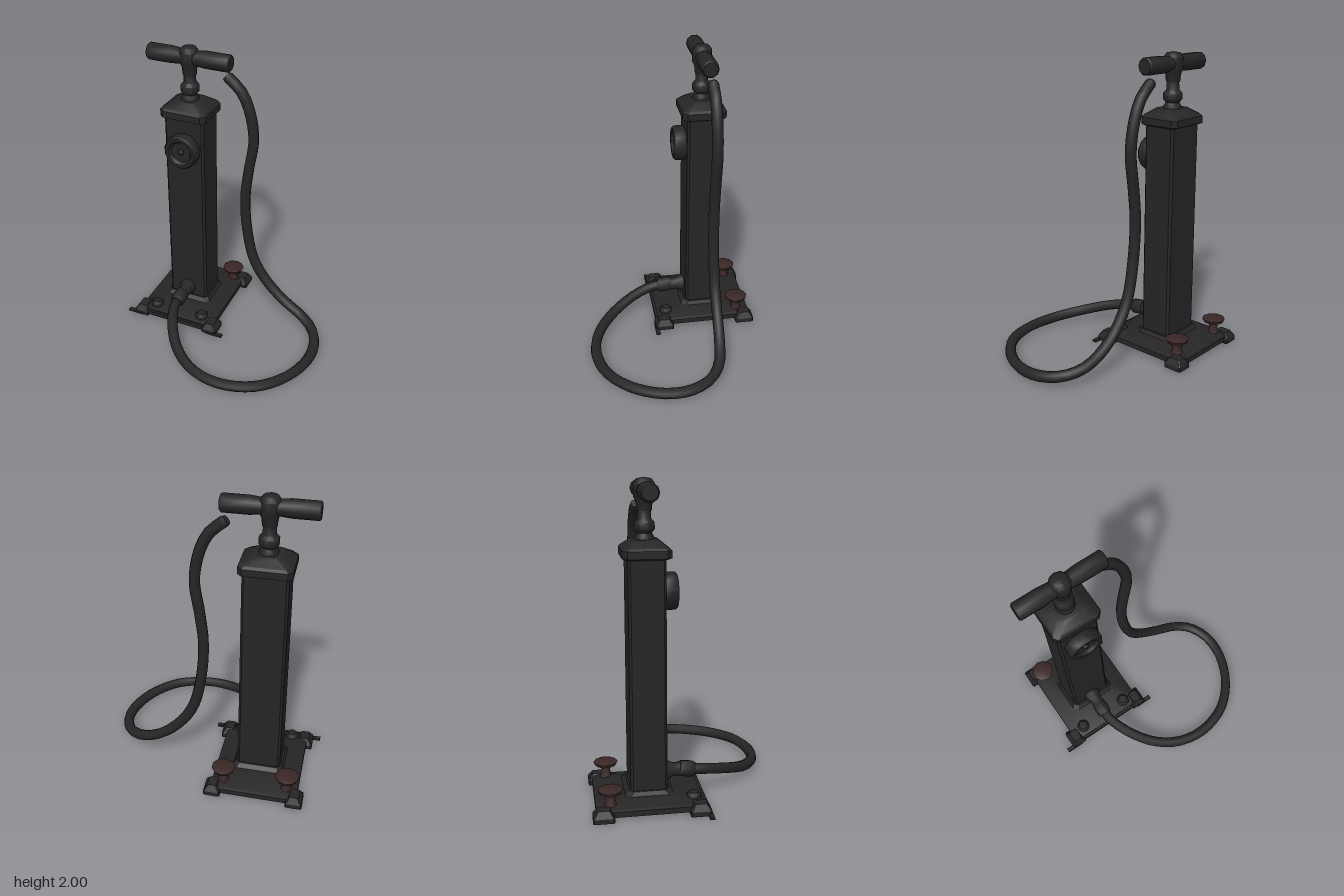
import * as THREE from 'three';
import { toCreasedNormals, mergeVertices } from 'three/addons/utils/BufferGeometryUtils.js';

const CX = -0.345, CZ = -0.245; // axis of the pump column
const BX = -0.345, BZ = -0.245; // centre of the foot plate

// Stacks chamfered rectangles [y, halfWidth, halfDepth, chamfer] into a closed solid.
function loft(sections) {
  const rings = sections.map(([y, w, d, c]) => [
    [w, d - c], [w, c - d], [w - c, -d], [c - w, -d],
    [-w, c - d], [-w, d - c], [c - w, d], [w - c, d],
  ].map(([x, z]) => [x, y, z]));
  const pos = [];
  const tri = (...pts) => pts.forEach(p => pos.push(...p));
  for (let s = 0; s < rings.length - 1; s++) {
    for (let i = 0; i < 8; i++) {
      const j = (i + 1) % 8, lo = rings[s], hi = rings[s + 1];
      tri(lo[i], lo[j], hi[j]);
      tri(lo[i], hi[j], hi[i]);
    }
  }
  const first = rings[0], last = rings[rings.length - 1];
  for (let i = 1; i < 7; i++) {
    tri(first[0], first[i + 1], first[i]);
    tri(last[0], last[i], last[i + 1]);
  }
  const g = new THREE.BufferGeometry();
  g.setAttribute('position', new THREE.Float32BufferAttribute(pos, 3));
  return toCreasedNormals(g, 0.5);
}

// Turned part from [radius, height] points, listed bottom to top.
function turned(points, sides) {
  const g = new THREE.LatheGeometry(points.map(p => new THREE.Vector2(...p)), sides);
  return toCreasedNormals(g, 0.8);
}

export function createModel() {
  const group = new THREE.Group();
  const dark = new THREE.MeshStandardMaterial({ color: 0x262424 });
  const reddish = new THREE.MeshStandardMaterial({ color: 0x3a2626 });

  function add(name, geometry, x, y, z, material = dark) {
    const mesh = new THREE.Mesh(geometry, material);
    mesh.name = name;
    mesh.position.set(x, y, z);
    group.add(mesh);
    return mesh;
  }

  // Foot plate: recessed underside, rim, sloping top
  add('footPlate', loft([
    [0.05, 0.22, 0.26, 0.01], [0.025, 0.26, 0.30, 0.01], [0.02, 0.285, 0.335, 0.01],
    [0.055, 0.285, 0.335, 0.01], [0.065, 0.27, 0.315, 0.01], [0.09, 0.17, 0.15, 0.03],
    [0.115, 0.155, 0.125, 0.03],
  ]), BX, 0, BZ);

  // Corner feet, thin front wings and the knobs on the plate
  for (const side of [-1, 1]) {
    for (const end of [-1, 1]) {
      add('cornerFoot', loft([
        [0.005, 0.055, 0.065, 0.008], [0.035, 0.055, 0.065, 0.008], [0.075, 0.03, 0.04, 0.008],
      ]), BX + side * 0.27, 0, end < 0 ? -0.537 : 0.05);
    }
    add('frontWing', new THREE.BoxGeometry(0.12, 0.014, 0.03), BX + side * 0.315, 0.012, 0.105);
    add('backKnob', turned([
      [0, 0.05], [0.05, 0.05], [0.03, 0.09], [0.028, 0.145], [0.07, 0.152], [0.078, 0.172], [0.06, 0.18], [0, 0.178],
    ], 10), BX + side * 0.21, 0, -0.49, reddish);
    add('frontKnob', turned([
      [0, 0.05], [0.045, 0.05], [0.045, 0.085], [0.03, 0.105], [0, 0.108],
    ], 10), BX + side * 0.18, 0, 0.025);
  }
  add('frontLip', new THREE.BoxGeometry(0.56, 0.03, 0.035), BX, 0.032, 0.09);

  // Column with its collar and roof-shaped cap
  add('column', loft([[0.08, 0.143, 0.114, 0.015], [1.56, 0.14, 0.112, 0.015]]), CX, 0, CZ);
  add('columnCap', loft([
    [1.535, 0.145, 0.12, 0.02], [1.545, 0.163, 0.145, 0.03], [1.59, 0.163, 0.145, 0.03],
    [1.605, 0.15, 0.13, 0.03], [1.645, 0.09, 0.08, 0.03],
  ]), CX, 0, CZ);

  // Piston rod with collars, rising into the handle hub
  add('pistonRod', turned([
    [0, 1.60], [0.066, 1.60], [0.06, 1.65], [0.045, 1.68], [0.062, 1.70], [0.062, 1.74],
    [0.042, 1.76], [0.038, 1.83], [0, 1.83],
  ], 10), CX, 0, CZ);
  add('handleHub', turned([
    [0, 1.81], [0.045, 1.81], [0.05, 1.86], [0.064, 1.89], [0.064, 1.965], [0.045, 1.992], [0, 2.0],
  ], 10), CX, 0, CZ);
  const grip = add('handleGrip', turned([
    [0, -0.287], [0.047, -0.287], [0.056, -0.278], [0.056, -0.12], [0.05, -0.06],
    [0.05, 0.06], [0.056, 0.12], [0.056, 0.278], [0.047, 0.287], [0, 0.287],
  ], 10), CX, 1.925, CZ);
  grip.rotation.z = Math.PI / 2;

  // Pressure gauge with a shallow dished face
  const gauge = add('pressureGauge', turned([
    [0, 0], [0.112, 0], [0.117, 0.015], [0.117, 0.07], [0.105, 0.085], [0.085, 0.083], [0.07, 0.062], [0, 0.055],
  ], 14), CX + 0.005, 1.33, -0.137);
  gauge.rotation.x = Math.PI / 2;
  add('gaugePin', new THREE.SphereGeometry(0.02, 8, 6), CX + 0.005, 1.33, -0.078);

  // Outlet spout and its hose clamp
  const spout = add('outletSpout', turned([
    [0, 0], [0.06, 0], [0.06, 0.03], [0.045, 0.06], [0.045, 0.12], [0, 0.12],
  ], 10), CX, 0.18, -0.14);
  spout.rotation.x = Math.PI / 2;
  const clamp = add('hoseClamp', turned([
    [0, 0], [0.048, 0], [0.052, 0.02], [0.052, 0.08], [0.042, 0.1], [0, 0.1],
  ], 10), CX, 0.185, -0.035);
  clamp.rotation.x = Math.PI / 2 + 0.12;

  // Hose: from the outlet, round on the ground, then up beside the handle
  const path = new THREE.CatmullRomCurve3([
    [-0.345, 0.18, -0.03], [-0.34, 0.168, 0.11], [-0.28, 0.135, 0.26], [-0.16, 0.085, 0.42],
    [0, 0.055, 0.525], [0.2, 0.045, 0.56], [0.42, 0.045, 0.5], [0.58, 0.045, 0.35],
    [0.67, 0.048, 0.15], [0.675, 0.058, -0.02], [0.61, 0.078, -0.16], [0.5, 0.11, -0.235],
    [0.37, 0.17, -0.262], [0.23, 0.29, -0.272], [0.12, 0.46, -0.272], [0.06, 0.72, -0.27],
    [0.043, 0.98, -0.27], [0.065, 1.2, -0.27], [0.094, 1.42, -0.27], [0.06, 1.62, -0.27],
    [0, 1.745, -0.27], [-0.09, 1.825, -0.268],
  ].map(p => new THREE.Vector3(...p)));
  add('hose', new THREE.TubeGeometry(path, 66, 0.036, 8), 0, 0, 0);

  // Closed tip at the free end of the hose
  const tip = add('hoseTip', new THREE.CylinderGeometry(0.03, 0.036, 0.02, 8), -0.093, 1.827, -0.268);
  tip.quaternion.setFromUnitVectors(new THREE.Vector3(0, 1, 0), path.getTangent(1));

  return group;
}
